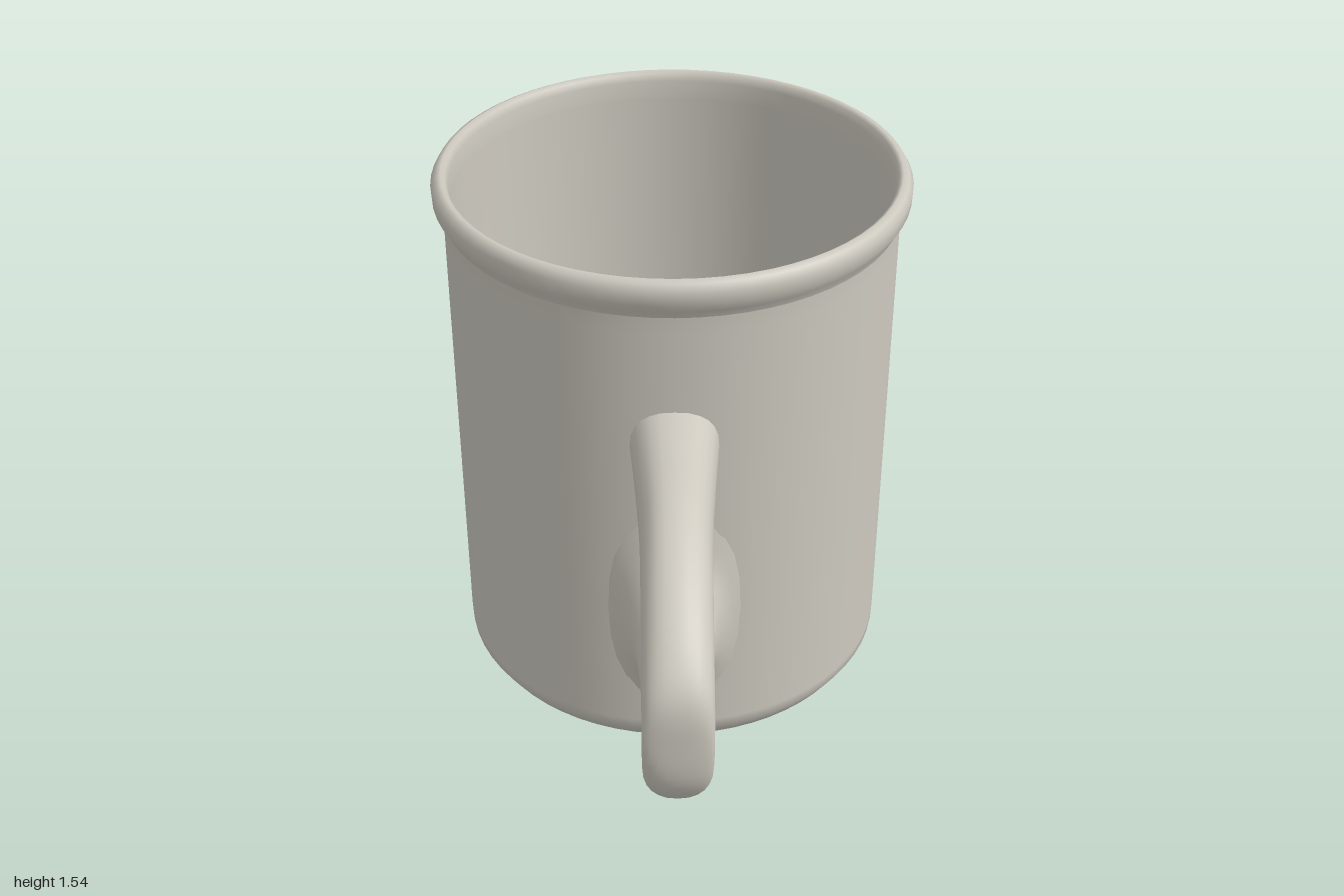
import * as THREE from 'three';

const AXIS_Z = -0.375; // the cup's axis, so cup plus handle are centred
const WALL_R = 0.602;

// Handle stations from upper joint to lower flare:
// [outer z, outer y, inner z, inner y, half width]
const STATIONS = [
  [0.20, 1.16, 0.20, 0.945, 0.115],
  [0.38, 1.148, 0.38, 0.93, 0.10],
  [0.57, 1.13, 0.57, 0.915, 0.088],
  [0.75, 1.07, 0.73, 0.88, 0.085],
  [0.90, 0.98, 0.85, 0.83, 0.084],
  [0.985, 0.88, 0.925, 0.785, 0.084],
  [1.0, 0.75, 0.962, 0.75, 0.084],
  [0.985, 0.61, 0.925, 0.71, 0.084],
  [0.90, 0.50, 0.84, 0.655, 0.084],
  [0.75, 0.43, 0.72, 0.607, 0.085],
  [0.57, 0.38, 0.57, 0.578, 0.087],
  [0.40, 0.358, 0.42, 0.575, 0.095],
  [0.30, 0.33, 0.32, 0.615, 0.11],
  [0.25, 0.27, 0.255, 0.70, 0.14],
  [0.222, 0.20, 0.222, 0.86, 0.185],
];

// Loft of rounded sections between the outer and inner guide curves
function handleGeometry(steps = 84, sides = 24) {
  const outer = new THREE.CatmullRomCurve3(STATIONS.map(s => new THREE.Vector3(s[4], s[1], s[0])));
  const inner = new THREE.CatmullRomCurve3(STATIONS.map(s => new THREE.Vector3(s[4], s[3], s[2])));
  const soften = v => Math.sign(v) * Math.pow(Math.abs(v), 0.85);
  const pos = [], index = [];
  for (let i = 0; i <= steps; i++) {
    const o = outer.getPoint(i / steps), n = inner.getPoint(i / steps);
    const cy = (o.y + n.y) / 2, cz = (o.z + n.z) / 2;
    for (let j = 0; j < sides; j++) {
      const a = (j / sides) * Math.PI * 2;
      const c = soften(Math.cos(a)), x = soften(Math.sin(a)) * o.x;
      let z = cz + c * (o.z - cz);
      // wrap the ends around the curved wall
      const near = THREE.MathUtils.clamp((0.45 - z) / 0.2, 0, 1);
      z -= near * (WALL_R - Math.sqrt(WALL_R * WALL_R - x * x));
      pos.push(x, cy + c * (o.y - cy), z);
      if (i < steps) {
        const p = i * sides + j, q = i * sides + (j + 1) % sides;
        index.push(p, p + sides, q, q, p + sides, q + sides);
      }
    }
  }
  const g = new THREE.BufferGeometry();
  g.setAttribute('position', new THREE.Float32BufferAttribute(pos, 3));
  g.setIndex(index);
  g.computeVertexNormals();
  return g;
}

function lathe(points) {
  const g = new THREE.LatheGeometry(points.map(([r, y]) => new THREE.Vector2(r, y)), 64);
  return g.translate(0, 0, AXIS_Z);
}

export function createModel() {
  const model = new THREE.Group();
  const enamel = new THREE.MeshStandardMaterial({ color: 0xcdc9bf });
  enamel.name = 'warm grey enamel';
  const add = (name, geometry) => {
    const mesh = new THREE.Mesh(geometry, enamel);
    mesh.name = name;
    model.add(mesh);
  };

  // Shallow conical underside, bevelled foot and straight outer wall
  add('outerBody', lathe([
    [0, 0], [0.06, 0.001], [0.30, 0.027], [0.55, 0.053], [0.572, 0.057],
    [0.60, 0.10], [WALL_R, 0.13], [WALL_R, 1.38], [0.604, 1.43],
  ]));
  // Rolled lip
  add('rim', lathe([
    [0.604, 1.43], [0.612, 1.45], [0.628, 1.475], [0.63, 1.51], [0.618, 1.53],
    [0.603, 1.537], [0.592, 1.53], [0.585, 1.51], [0.584, 1.46],
  ]));
  // Inner wall and floor
  add('innerBody', lathe([
    [0.584, 1.46], [0.584, 0.13], [0.575, 0.10], [0.55, 0.075], [0.30, 0.05], [0, 0.022],
  ]));
  add('handle', handleGeometry());
  return model;
}
